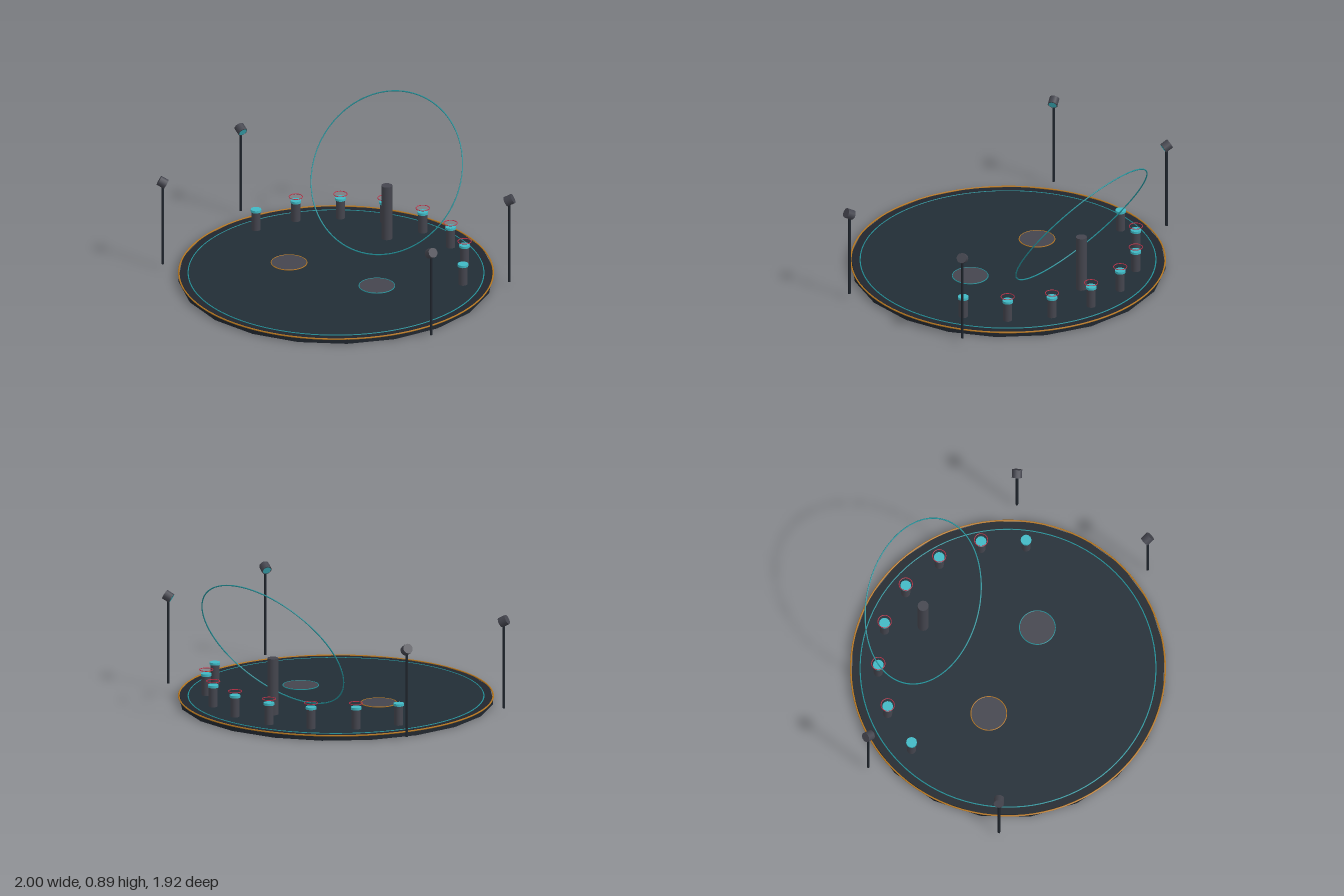
import * as THREE from 'three';

const mat = (name, color, extra = {}) => {
  const m = new THREE.MeshStandardMaterial({ color, ...extra });
  m.name = name;
  return m;
};

export function createModel() {
  const root = new THREE.Group();
  root.name = 'stage';
  const baseDark = mat('baseDark', 0x20262e);
  const floorSlate = mat('floorSlate', 0x222d36);
  const metal = mat('metal', 0x44454e);
  const teal = mat('brightTeal', 0x3fb8c4);
  const ringTeal = mat('ringTeal', 0x23929a);
  const amber = mat('amber', 0xb87820);
  const red = mat('red', 0xc03048);

  const add = (parent, name, geo, material, x = 0, y = 0, z = 0) => {
    const mesh = new THREE.Mesh(geo, material);
    mesh.name = name;
    mesh.position.set(x, y, z);
    parent.add(mesh);
    return mesh;
  };
  // upright cylinder standing on y
  const post = (parent, name, r, h, sides, material, x, y, z) =>
    add(parent, name, new THREE.CylinderGeometry(r, r, h, sides), material, x, y + h / 2, z);
  // flat hoop lying level
  const hoop = (parent, name, r, tube, material, x, y, z, segments = 64) => {
    const mesh = add(parent, name, new THREE.TorusGeometry(r, tube, 6, segments), material, x, y, z);
    mesh.rotation.x = -Math.PI / 2;
    return mesh;
  };

  // Platform with its inlaid floor and edge rings
  post(root, 'platform', 0.96, 0.03, 20, baseDark, 0, 0, 0);
  post(root, 'floor', 0.9, 0.002, 64, floorSlate, 0, 0.0295, 0);
  hoop(root, 'rimRing', 0.957, 0.005, amber, 0, 0.031, 0, 96);
  hoop(root, 'floorRing', 0.9, 0.004, ringTeal, 0, 0.03, 0, 96);

  // Two floor pads with coloured borders
  for (const [side, material] of [[-1, amber], [1, ringTeal]]) {
    const pad = new THREE.Group();
    pad.name = 'floorPad';
    pad.position.set(side * 0.315, 0.03, 0.035);
    root.add(pad);
    post(pad, 'padDisc', 0.108, 0.006, 32, metal, 0, 0, 0);
    hoop(pad, 'padBorder', 0.109, 0.003, material, 0, 0.005, 0);
  }

  // Arc of capped pedestals; the inner six carry a hovering ring
  for (let i = 0; i < 8; i++) {
    const a = THREE.MathUtils.degToRad(-70 + i * 20);
    const pedestal = new THREE.Group();
    pedestal.name = 'pedestal';
    pedestal.position.set(0.79 * Math.sin(a), 0.03, -0.79 * Math.cos(a));
    root.add(pedestal);
    post(pedestal, 'pedestalPost', 0.028, 0.122, 12, metal, 0, 0, 0);
    post(pedestal, 'pedestalCap', 0.033, 0.015, 12, teal, 0, 0.122, 0);
    if (i > 0 && i < 7) hoop(pedestal, 'hoverRing', 0.041, 0.0025, red, 0, 0.16, 0, 24);
  }

  // Central column and the large leaning hoop around it
  post(root, 'column', 0.034, 0.355, 12, metal, 0, 0.03, -0.585);
  const bigHoop = add(root, 'leaningHoop', new THREE.TorusGeometry(0.512, 0.004, 6, 96), ringTeal, 0, 0.47, -0.585);
  bigHoop.rotation.x = -0.61;

  // Four lamp poles, each head aimed at the middle of the floor
  for (const x of [-0.963, 0.963]) {
    for (const z of [-0.45, 0.45]) {
      const lamp = new THREE.Group();
      lamp.name = 'lamp';
      root.add(lamp);
      post(lamp, 'lampPole', 0.008, 0.54, 8, baseDark, x, 0.03, z);
      const head = new THREE.Group();
      head.name = 'lampHead';
      head.position.set(x, 0.578, z);
      head.lookAt(0, 0, 0);
      lamp.add(head);
      add(head, 'lampHousing', new THREE.CylinderGeometry(0.031, 0.031, 0.05, 12), metal).rotation.x = Math.PI / 2;
      add(head, 'lampLens', new THREE.CircleGeometry(0.026, 16), teal, 0, 0, 0.026);
    }
  }
  return root;
}
